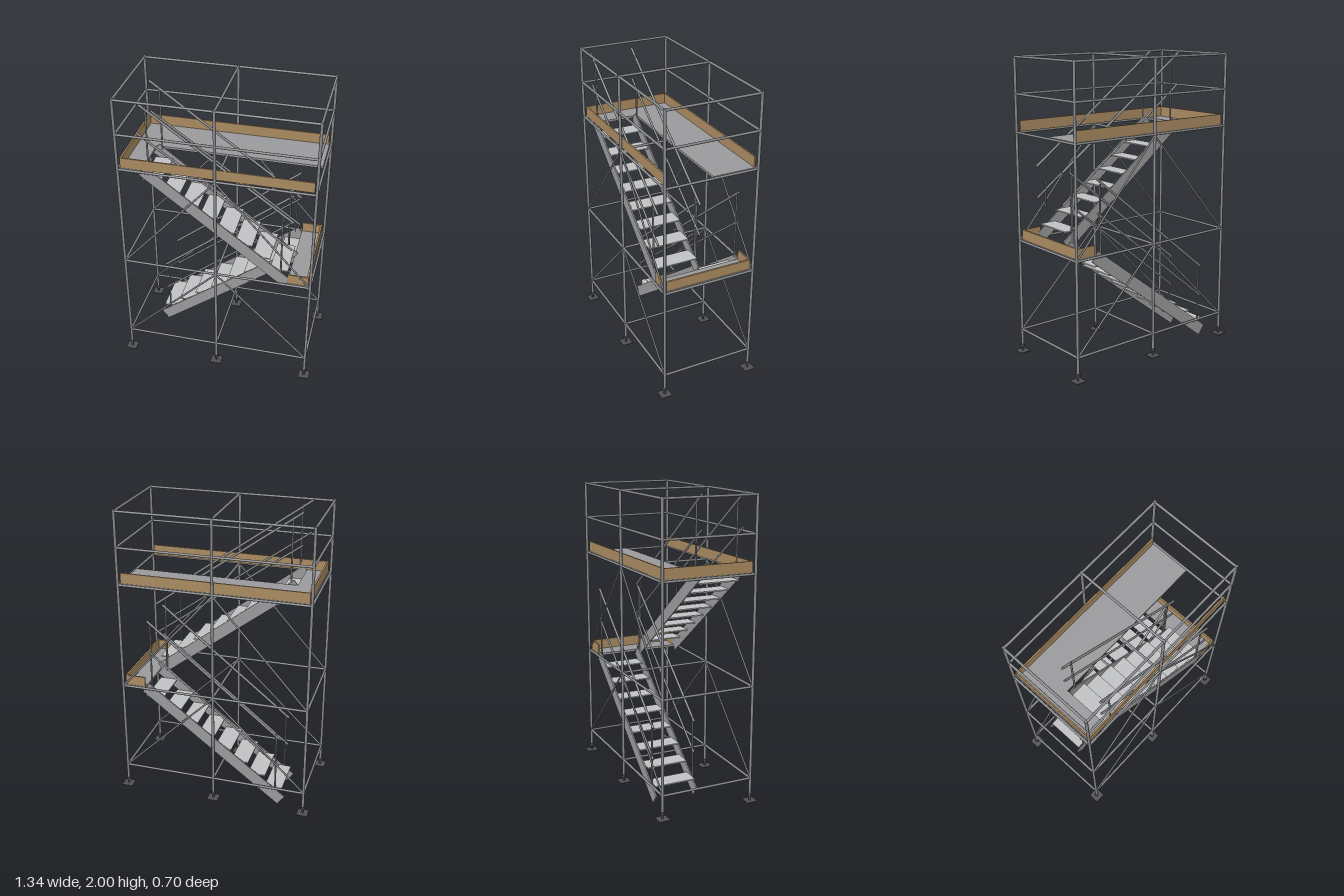
import * as THREE from 'three';

const mat = (name, color) => {
  const m = new THREE.MeshStandardMaterial({ color });
  m.name = name;
  return m;
};

export function createModel() {
  const steel = mat('tube steel', 0x88898c);
  const plate = mat('deck grey', 0x9a9a9c);
  const tread = mat('tread light grey', 0xc0c1c3);
  const wood = mat('toe board wood', 0xa98a60);
  const dark = mat('base dark grey', 0x505052);

  const model = new THREE.Group();
  model.name = 'scaffoldStairTower';
  const group = (name) => {
    const g = new THREE.Group();
    g.name = name;
    model.add(g);
    return g;
  };

  // Straight round tube between two points
  const tube = (parent, name, a, b, r = 0.009, material = steel) => {
    const p = new THREE.Vector3(...a), q = new THREE.Vector3(...b);
    const dir = q.clone().sub(p);
    const mesh = new THREE.Mesh(new THREE.CylinderGeometry(r, r, dir.length(), 12), material);
    mesh.position.copy(p).add(q).multiplyScalar(0.5);
    mesh.quaternion.setFromUnitVectors(new THREE.Vector3(0, 1, 0), dir.normalize());
    mesh.name = name;
    parent.add(mesh);
  };

  // Box given by its minimum and maximum corners
  const box = (parent, name, a, b, material) => {
    const mesh = new THREE.Mesh(
      new THREE.BoxGeometry(b[0] - a[0], b[1] - a[1], b[2] - a[2]), material);
    mesh.position.set((a[0] + b[0]) / 2, (a[1] + b[1]) / 2, (a[2] + b[2]) / 2);
    mesh.name = name;
    parent.add(mesh);
  };

  const X = 0.63, Z = 0.315;
  const frame = group('frame');
  const feet = group('feet');

  // Posts on screw jacks with base plates
  for (const x of [-X, 0, X]) {
    for (const z of [-Z, Z]) {
      tube(frame, 'post', [x, 0.055, z], [x, 2, z], 0.0095);
      box(feet, 'basePlate', [x - 0.0375, 0, z - 0.0375], [x + 0.0375, 0.006, z + 0.0375], dark);
      tube(feet, 'jackScrew', [x, 0.006, z], [x, 0.07, z], 0.007, dark);
      tube(feet, 'jackNut', [x, 0.038, z], [x, 0.052, z], 0.015, dark);
    }
  }

  // Horizontal ledgers, end bars and middle cross bars
  for (const y of [0.16, 0.785, 1.507, 1.755, 1.99]) {
    for (const s of [-1, 1]) {
      tube(frame, 'ledger', [-X, y, s * Z], [X, y, s * Z], 0.008);
      tube(frame, 'endBar', [s * X, y, -Z], [s * X, y, Z], 0.008);
    }
    if (y !== 1.755) tube(frame, 'crossBar', [0, y, -Z], [0, y, Z], 0.008);
  }

  // Diagonal braces on both long faces
  for (const z of [-Z, Z]) {
    for (const s of [-1, 1]) {
      tube(frame, 'brace', [s * 0.62, 0.17, z], [0, 0.78, z], 0.006);
      tube(frame, 'brace', [s * 0.62, 0.795, z], [0, 1.5, z], 0.006);
    }
  }

  // Decks: L-shaped top deck and the middle landing
  const decks = group('decks');
  box(decks, 'topDeck', [-0.62, 1.5, -0.305], [0.62, 1.515, -0.012], plate);
  box(decks, 'topLanding', [-0.62, 1.5, -0.012], [-0.475, 1.515, 0.305], plate);
  box(decks, 'middleLanding', [0.475, 0.777, -0.305], [0.62, 0.792, 0.305], plate);

  // Toe boards
  const boards = group('toeBoards');
  for (const z of [-0.298, 0.298]) {
    box(boards, 'topLongBoard', [-0.615, 1.515, z - 0.005], [0.615, 1.585, z + 0.005], wood);
    box(boards, 'landingSideBoard', [0.477, 0.792, z - 0.005], [0.615, 0.86, z + 0.005], wood);
  }
  box(boards, 'topEndBoard', [-0.615, 1.515, -0.293], [-0.603, 1.585, 0.293], wood);
  box(boards, 'landingEndBoard', [0.603, 0.792, -0.293], [0.615, 0.86, 0.293], wood);

  // One stair flight; dir is +1 when it climbs towards +x
  const flight = (name, dir, y0, zMin, zMax, reach, railLow, railHigh) => {
    const g = group(name);
    const slope = Math.atan2(0.724, 0.948);
    for (const z of [zMin, zMax]) {
      const stringer = new THREE.Mesh(new THREE.BoxGeometry(1.19, 0.08, 0.009), plate);
      stringer.position.set(0, y0 + 0.362, z);
      stringer.rotation.z = dir * slope;
      stringer.name = 'stringer';
      g.add(stringer);

      // Handrail, middle rail and their two posts
      tube(g, 'handrail', [-dir * reach, railLow, z], [dir * reach, railHigh, z], 0.008);
      tube(g, 'middleRail', [-dir * reach, railLow - 0.212, z], [dir * reach, railHigh - 0.212, z], 0.007);
      tube(g, 'railPost', [-dir * 0.43, y0 + 0.08, z], [-dir * 0.43, railLow + 0.035, z], 0.006);
      tube(g, 'railPost', [dir * 0.43, y0 + 0.715, z], [dir * 0.43, railHigh - 0.03, z], 0.006);
    }
    for (let k = 0; k < 8; k++) {
      const x = dir * (-0.417 + 0.119 * k), y = y0 + 0.09 + 0.0808 * k;
      box(g, 'tread', [x - 0.0595, y - 0.004, zMin + 0.005], [x + 0.0595, y + 0.004, zMax - 0.005], tread);
    }
  };
  flight('lowerFlight', 1, 0.061, -0.295, -0.006, 0.45, 0.54, 1.27);
  flight('upperFlight', -1, 0.786, 0.006, 0.295, 0.497, 1.27, 1.988);

  return model;
}
